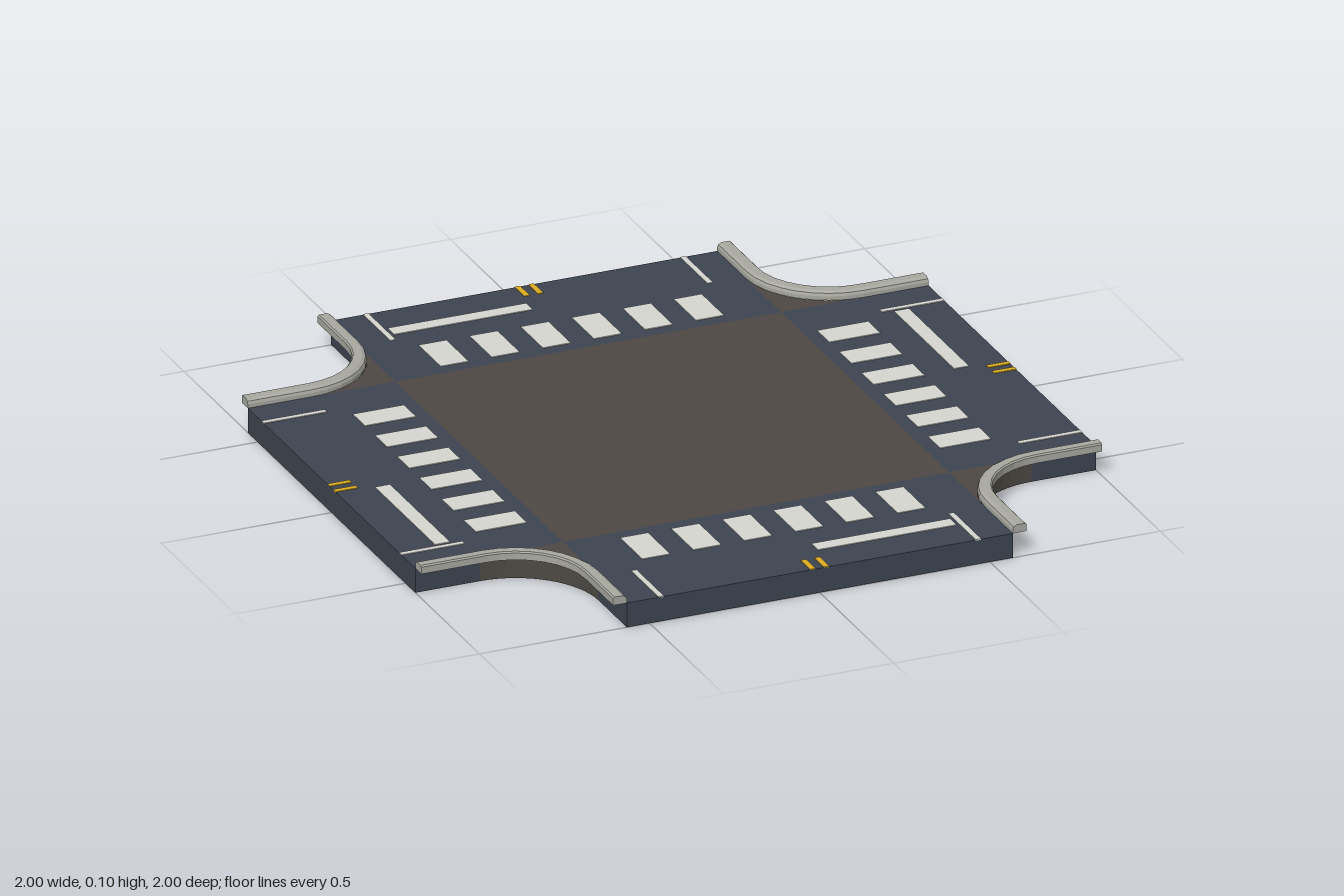
import * as THREE from 'three';

const H = 0.567;   // half width of the roads
const TOP = 0.072; // road surface height
const C = 0.81;    // centre of each rounded corner
const R = C - H;   // corner radius on the road side
const SEG = 8;

const mat = (color) => new THREE.MeshStandardMaterial({ color, flatShading: true, roughness: 0.9 });
const asphalt = mat(0x3d4450);
const junction = mat(0x4d4843);
const white = mat(0xd6d6d0);
const yellow = mat(0xdcae22);
const stone = mat(0xa8a8a0);

function add(parent, name, geometry, material) {
  const mesh = new THREE.Mesh(geometry, material);
  mesh.name = name;
  parent.add(mesh);
  return mesh;
}

// Box given by its ranges in x, y and z
function slab(parent, name, material, x0, x1, y0, y1, z0, z1) {
  add(parent, name, new THREE.BoxGeometry(x1 - x0, y1 - y0, z1 - z0), material)
    .position.set((x0 + x1) / 2, (y0 + y1) / 2, (z0 + z1) / 2);
}

// Thin painted strip lying on the road
function paint(parent, name, material, x0, x1, z0, z1) {
  slab(parent, name, material, x0, x1, TOP - 0.002, TOP + 0.002, z0, z1);
}

// Fillet of paving between two neighbouring roads
function cornerGeometry() {
  const shape = new THREE.Shape();
  shape.moveTo(H, H);
  shape.lineTo(C, H);
  shape.absarc(C, C, R, -Math.PI / 2, -Math.PI, true);
  shape.closePath();
  return new THREE.ExtrudeGeometry(shape, { depth: TOP, bevelEnabled: false, curveSegments: SEG })
    .rotateX(-Math.PI / 2);
}

// Kerb section swept along a straight, a quarter arc and a straight
function kerbGeometry() {
  // (distance from corner centre, height), bevelled on the road side
  const section = [
    [R - 0.04, TOP], [R - 0.04, 0.092], [R - 0.036, 0.096],
    [R - 0.012, 0.096], [R - 0.003, 0.091], [R, 0.083], [R, TOP],
  ];
  const rings = [section.map(([r, y]) => [C - r, y, 1])];
  for (let i = 0; i <= SEG; i++) {
    const a = (i / SEG) * Math.PI / 2;
    rings.push(section.map(([r, y]) => [C - r * Math.cos(a), y, C - r * Math.sin(a)]));
  }
  rings.push(section.map(([r, y]) => [1, y, C - r]));

  const n = section.length;
  const index = [];
  for (let i = 0; i < rings.length - 1; i++) {
    for (let j = 0; j < n; j++) {
      const k = (j + 1) % n;
      const a = i * n + j, b = (i + 1) * n + j, c = (i + 1) * n + k, d = i * n + k;
      index.push(a, b, c, a, c, d);
    }
  }
  // End caps
  const last = (rings.length - 1) * n;
  for (let j = 1; j < n - 1; j++) {
    index.push(0, j, j + 1, last, last + j + 1, last + j);
  }
  const geometry = new THREE.BufferGeometry();
  geometry.setAttribute('position', new THREE.Float32BufferAttribute(rings.flat(2), 3));
  geometry.setIndex(index);
  const flat = geometry.toNonIndexed();
  flat.computeVertexNormals();
  return flat;
}

export function createModel() {
  const model = new THREE.Group();
  model.name = 'crossroads';
  slab(model, 'junctionCentre', junction, -H, H, 0, TOP, -H, H);

  const corner = cornerGeometry();
  const kerb = kerbGeometry();

  // One road arm with its corner and kerb, turned to all four sides
  for (let q = 0; q < 4; q++) {
    const arm = new THREE.Group();
    arm.name = 'roadArm';
    arm.rotation.y = q * Math.PI / 2;
    model.add(arm);

    slab(arm, 'roadSurface', asphalt, -H, H, 0, TOP, H, 1);
    add(arm, 'cornerPaving', corner, junction);
    add(arm, 'kerb', kerb, stone);

    // Crossing stripes
    for (let i = 0; i < 6; i++) {
      const x = -0.375 + i * 0.15;
      paint(arm, 'crossingStripe', white, x - 0.041, x + 0.041, 0.607, 0.757);
    }
    paint(arm, 'stopLine', white, 0.042, 0.449, 0.847, 0.891);

    // Lines on both sides of the road and down its middle
    for (const s of [-1, 1]) {
      paint(arm, 'edgeLine', white, s * 0.466 - 0.008, s * 0.466 + 0.008, 0.815, 1);
      paint(arm, 'centreLine', yellow, s * 0.02 - 0.008, s * 0.02 + 0.008, 0.935, 1);
    }
  }
  return model;
}
